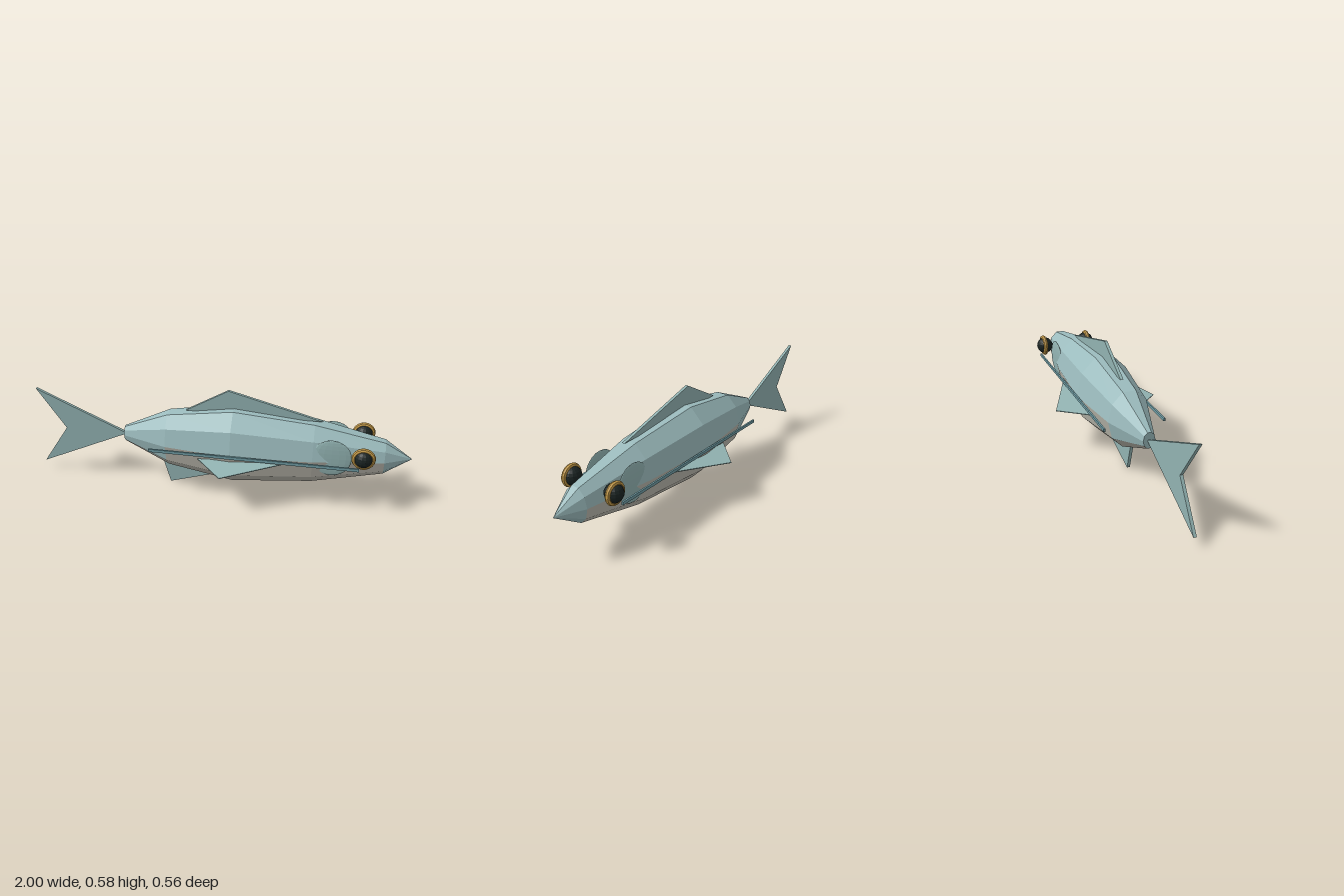
import * as THREE from 'three';

const mat = (color) => new THREE.MeshStandardMaterial({ color, flatShading: true });
const SKIN = mat(0x9cbcbe), BELLY = mat(0xbbb9ae), FIN = mat(0x92b3b2);
const LINE = mat(0x6f9ca4), EYE = mat(0x1a2322), GOLD = mat(0xc79c48);

const CY = 0.279, SIDES = 10, WIDTH = 0.716;
// Body stations: x, half height radius
const RINGS = [[-0.515, 0.044], [-0.27, 0.158], [0.08, 0.2166], [0.5, 0.176], [0.86, 0.095], [1, 0]];

function ringPoint(i, j) {
  const a = (j % SIDES) / SIDES * Math.PI * 2;
  const [x, r] = RINGS[i];
  return [x, CY + Math.sin(a) * r, Math.cos(a) * r * WIDTH];
}

// Faces of the faceted hull picked by a rule
function hull(pick, withCap) {
  const pos = [];
  for (let i = 0; i < RINGS.length - 1; i++) {
    for (let j = 0; j < SIDES; j++) {
      if (!pick(i, j)) continue;
      const a = ringPoint(i, j), b = ringPoint(i + 1, j);
      const c = ringPoint(i + 1, j + 1), d = ringPoint(i, j + 1);
      pos.push(...a, ...b, ...d);
      if (RINGS[i + 1][1] > 0) pos.push(...b, ...c, ...d);
    }
  }
  if (withCap) {
    for (let j = 0; j < SIDES; j++) {
      pos.push(RINGS[0][0], CY, 0, ...ringPoint(0, j), ...ringPoint(0, j + 1));
    }
  }
  const g = new THREE.BufferGeometry();
  g.setAttribute('position', new THREE.Float32BufferAttribute(pos, 3));
  g.computeVertexNormals();
  return g;
}

// The underside is pale; the flanks of the nose and tail stay skin-coloured
function isBelly(i, j) {
  if (j < 5) return false;
  if (i === 0) return j > 5 && j < 9;
  if (i === 4) return j === 7;
  return true;
}

// Thin plate from an outline, centred on its own plane
function plate(points, depth) {
  const shape = new THREE.Shape(points.map(([x, y]) => new THREE.Vector2(x, y)));
  const g = new THREE.ExtrudeGeometry(shape, { depth, bevelEnabled: false });
  return g.translate(0, 0, -depth / 2);
}

export function createModel() {
  const model = new THREE.Group();
  model.name = 'fish';
  const add = (name, geometry, material, x = 0, y = 0, z = 0) => {
    const m = new THREE.Mesh(geometry, material);
    m.name = name;
    m.position.set(x, y, z);
    model.add(m);
    return m;
  };

  // Body
  add('body', hull((i, j) => !isBelly(i, j), true), SKIN);
  add('belly', hull(isBelly, false), BELLY);

  // Upright fins
  add('tailFin', plate([[-0.505, CY], [-1, 0.505], [-0.85, CY], [-1, 0.055]], 0.016), FIN);
  add('dorsalFin', plate([[-0.175, 0.452], [0.54, 0.452], [0.05, 0.582]], 0.016), FIN);
  add('analFin', plate([[-0.315, 0.16], [-0.27, 0], [0.05, 0.1], [0, 0.16]], 0.016), FIN);

  for (const s of [1, -1]) {
    const side = s > 0 ? 'right' : 'left';

    // Side fin: flat triangle tilted down towards the tip and the rear
    const root = 0.135;
    const fin = plate([[-0.09, root], [0.37, root], [0.05, 0.282]], 0.004);
    const p = fin.attributes.position;
    for (let i = 0; i < p.count; i++) {
      const x = p.getX(i), out = p.getY(i), t = p.getZ(i);
      const k = (out - root) / (0.282 - root);
      const rootY = 0.24 + (x + 0.09) * 0.048;
      p.setXYZ(i, x, THREE.MathUtils.lerp(rootY, 0.228, k) - s * t, s * out);
    }
    if (s > 0) {
      // Keep faces outward
      fin.computeVertexNormals();
    }
    fin.computeVertexNormals();
    const finMesh = add(side + 'SideFin', fin, FIN.clone());
    finMesh.material.side = THREE.DoubleSide;

    // Stripe along the flank
    add(side + 'FlankStripe', new THREE.BoxGeometry(1.08, 0.016, 0.009), LINE, 0.195, 0.28, s * 0.16);

    // Gill cover
    const gill = add(side + 'GillCover', new THREE.SphereGeometry(0.102, 16, 12), FIN, 0.595, 0.302, s * 0.103);
    gill.scale.z = 0.1;

    // Eye with a gold rim
    add(side + 'Eye', new THREE.SphereGeometry(0.047, 14, 10), EYE, 0.752, 0.333, s * 0.13);
    add(side + 'EyeRim', new THREE.TorusGeometry(0.047, 0.013, 8, 20), GOLD, 0.752, 0.333, s * 0.136);
  }
  return model;
}
